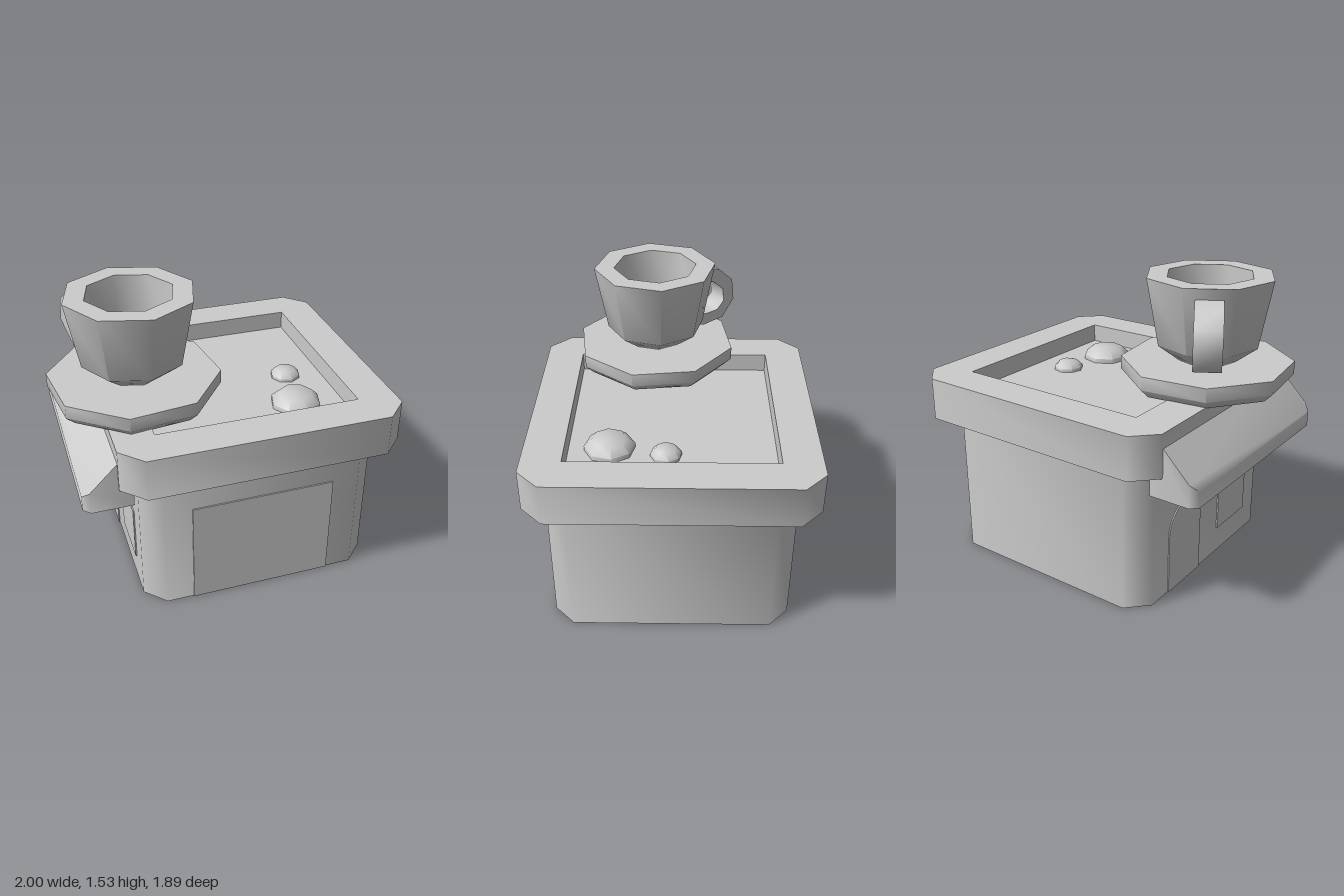
import * as THREE from 'three';
import { toCreasedNormals } from 'three/addons/utils/BufferGeometryUtils.js';

const stone = new THREE.MeshStandardMaterial({ color: 0xcccccc });
stone.name = 'pale grey';

// Soft chamfers, sharp right angles
function add(parent, name, geometry, x = 0, y = 0, z = 0) {
  const mesh = new THREE.Mesh(toCreasedNormals(geometry, 0.9), stone);
  mesh.name = name;
  mesh.position.set(x, y, z);
  parent.add(mesh);
  return mesh;
}

const polygon = (pts) => new THREE.Shape(pts.map(([x, y]) => new THREE.Vector2(x, y)));
const extrude = (shape, depth) =>
  new THREE.ExtrudeGeometry(shape, { depth, bevelEnabled: false, curveSegments: 8 });
// Plan outline pushed upwards
const slab = (shape, height) => extrude(shape, height).rotateX(-Math.PI / 2);

function chamferedSquare(h, c) {
  const k = h - c;
  return polygon([[-k, -h], [k, -h], [h, -k], [h, k], [k, h], [-k, h], [-h, k], [-h, -k]]);
}

// Eight-sided turned part; flats face the axes when turned is true
function turned8(profile, turned) {
  const pts = profile.map(([r, y]) => new THREE.Vector2(r, y));
  return new THREE.LatheGeometry(pts, 8, turned ? Math.PI / 8 : 0);
}

export function createModel() {
  const model = new THREE.Group();
  model.name = 'cafe';

  // Building, turned on its plot
  const house = new THREE.Group();
  house.name = 'building';
  house.position.set(0.059, 0, 0.008);
  house.rotation.y = -Math.PI / 6;
  model.add(house);

  add(house, 'walls', slab(chamferedSquare(0.622, 0.105), 0.78));

  // Roof rim with sunken floor
  const rim = chamferedSquare(0.725, 0.112);
  const r = 0.525;
  rim.holes.push(polygon([[-r, -r], [-r, r], [r, r], [r, -r]]));
  add(house, 'roofRim', slab(rim, 0.22), 0, 0.77, 0);
  add(house, 'roofFloor', new THREE.BoxGeometry(2 * r, 0.11, 2 * r), 0, 0.835, 0);

  // Large front window panel
  add(house, 'frontPanel', new THREE.BoxGeometry(0.75, 0.58, 0.008), 0, 0.29, 0.625);

  // Arched door and square window on the awning side
  const arch = new THREE.Shape();
  arch.moveTo(-0.147, 0);
  arch.lineTo(0.147, 0);
  arch.lineTo(0.147, 0.32);
  arch.absarc(0, 0.32, 0.147, 0, Math.PI, false);
  arch.closePath();
  add(house, 'door', extrude(arch, 0.008).rotateY(-Math.PI / 2), -0.62, 0, -0.23);
  add(house, 'window', new THREE.BoxGeometry(0.008, 0.303, 0.29), -0.625, 0.297, 0.247);

  // Awning: chamfered block whose top slopes up to the roof edge
  const awning = slab(polygon([
    [-0.655, -0.602], [-0.655, 0.602], [-0.865, 0.602],
    [-0.9, 0.567], [-0.9, -0.567], [-0.865, -0.602],
  ]), 0.1);
  const p = awning.attributes.position;
  for (let i = 0; i < p.count; i++) {
    if (p.getY(i) > 0.05) p.setY(i, 0.08 + (p.getX(i) + 0.9));
  }
  add(house, 'awning', awning, 0, 0.66, 0);

  // Roof vents
  for (const [x, z, R, h] of [[0.14, 0.42, 0.13, 0.065], [0.33, 0.2, 0.08, 0.045]]) {
    const vent = turned8([[0, 0], [R, 0], [R, h * 0.4], [R * 0.67, h], [0, h]], true);
    add(model, 'roofVent', vent, x, 0.889, z);
  }

  // Cup on a saucer
  const cup = new THREE.Group();
  cup.name = 'cupAndSaucer';
  cup.position.set(-0.447, 0, -0.163);
  model.add(cup);
  add(cup, 'saucer', turned8([[0, 0.985], [0.395, 0.985], [0.44, 1.03], [0.44, 1.1], [0, 1.1]], false));
  add(cup, 'cup', turned8([
    [0, 1.099], [0.146, 1.099], [0.265, 1.19], [0.33, 1.535],
    [0.224, 1.535], [0.224, 1.2], [0, 1.2],
  ], true));

  // Handle: faceted loop, ends buried in the cup wall
  const loop = polygon([
    [0.26, 1.48], [0.31, 1.48], [0.37, 1.463], [0.457, 1.385], [0.472, 1.265], [0.4, 1.165],
    [0.28, 1.145], [0.2, 1.16], [0.23, 1.225], [0.29, 1.21], [0.365, 1.22], [0.405, 1.265],
    [0.398, 1.34], [0.335, 1.395], [0.26, 1.41],
  ]);
  add(cup, 'handle', extrude(loop, 0.136).rotateY(Math.PI / 2), -0.068, 0, 0);

  return model;
}
